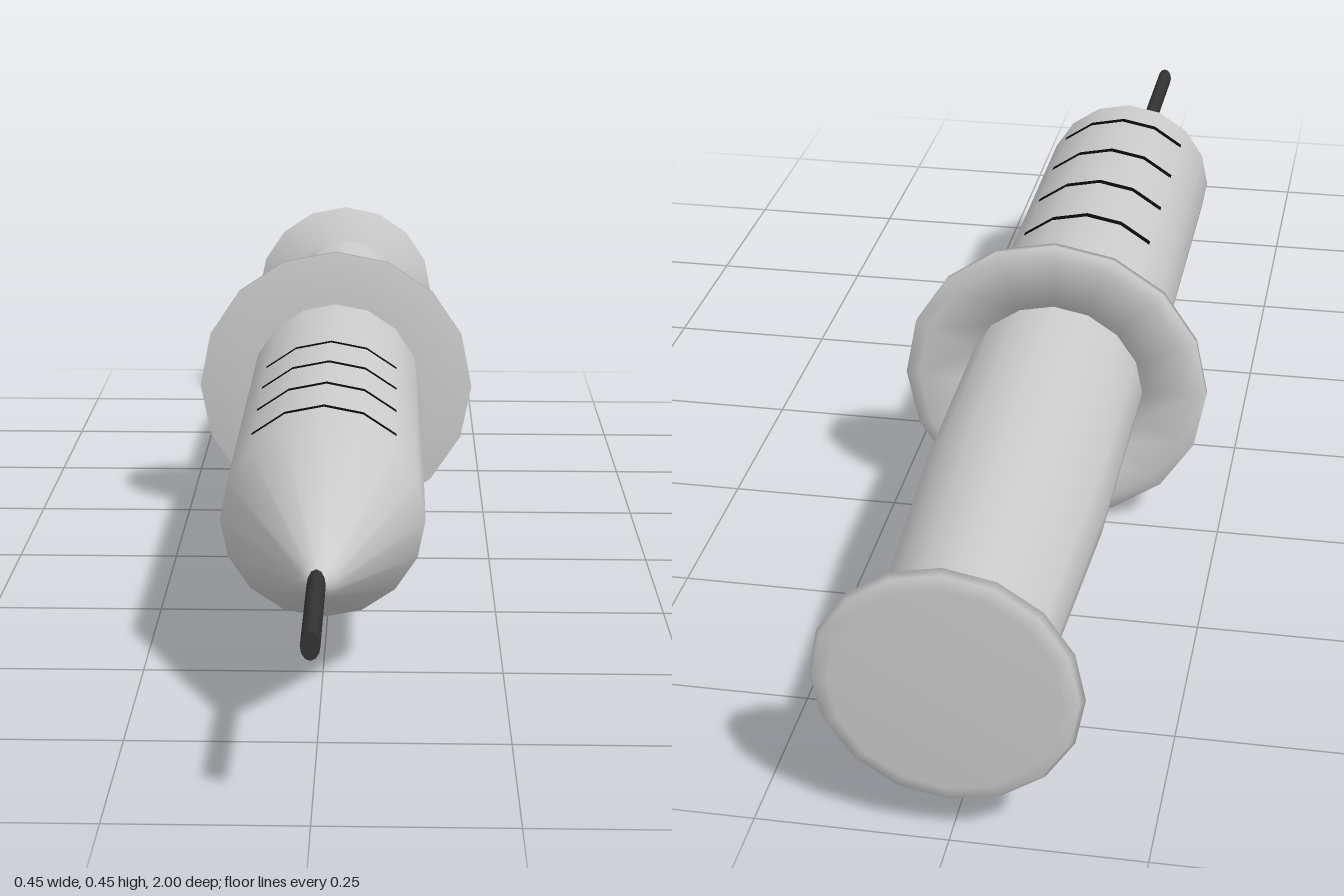
import * as THREE from 'three';
import { mergeVertices } from 'three/addons/utils/BufferGeometryUtils.js';

const SIDES = 16;
const AXIS_Y = 0.226;

// Smooth solid of revolution about z; profile is [radius, z], running rear to front.
// bend(angle, z) optionally scales the radius around the section.
function turned(profile, sides = SIDES, bend = null) {
  let geo = new THREE.LatheGeometry(profile.map(([r, z]) => new THREE.Vector2(r, z)), sides);
  geo.rotateX(Math.PI / 2);
  geo.deleteAttribute('uv');
  geo.deleteAttribute('normal');
  geo = mergeVertices(geo, 1e-4);
  if (bend) {
    const p = geo.attributes.position;
    for (let i = 0; i < p.count; i++) {
      const k = bend(Math.atan2(p.getY(i), p.getX(i)), p.getZ(i));
      p.setXY(i, p.getX(i) * k, p.getY(i) * k);
    }
  }
  geo.computeVertexNormals();
  return geo;
}

export function createModel() {
  const model = new THREE.Group();
  const grey = new THREE.MeshStandardMaterial({ color: 0xcccccc, side: THREE.DoubleSide });
  const dark = new THREE.MeshStandardMaterial({ color: 0x333333 });
  const black = new THREE.MeshStandardMaterial({ color: 0x080808, side: THREE.DoubleSide });

  const add = (name, geo, mat) => {
    const mesh = new THREE.Mesh(geo, mat);
    mesh.name = name;
    mesh.position.y = AXIS_Y;
    model.add(mesh);
    return mesh;
  };

  // Barrel with its tapered nose
  add('barrel', turned([[0.14, -0.23], [0.14, 0.515], [0.026, 0.765], [0.012, 0.785], [0, 0.787]]), grey);

  // Finger flange: a thin ring around the barrel's open end
  add('fingerFlange', turned([
    [0.132, -0.15], [0.132, -0.243], [0.205, -0.241], [0.226, -0.235], [0.226, -0.225], [0.139, -0.221],
  ]), grey);

  // Dark seal closing the barrel behind the flange
  add('seal', turned([[0, -0.16], [0.134, -0.155]]), black);

  // Plunger shaft, slightly flattened along one diagonal
  const flatten = (angle) => (Math.abs(Math.sin(angle - Math.PI / 4)) > 0.99 ? 0.925 : 1);
  add('plungerShaft', turned([[0.109, -0.965], [0.13, -0.55], [0.131, -0.16]], SIDES, flatten), grey);

  // Flared thumb rest
  add('thumbRest', turned([
    [0, -1], [0.145, -1], [0.164, -0.996], [0.17, -0.988], [0.108, -0.955],
  ]), grey);

  // Needle, slightly oval
  const needle = add('needle', new THREE.CylinderGeometry(0.018, 0.018, 0.23, 12).rotateX(Math.PI / 2), dark);
  needle.scale.x = 0.67;
  needle.position.z = 0.885;

  // Scale marks following the facets on top of the barrel
  for (let i = 0; i < 4; i++) {
    const arc = new THREE.CylinderGeometry(0.1415, 0.1415, 0.012, 4, 1, true, Math.PI * 0.75, Math.PI / 2);
    const mark = add('scaleMark' + (i + 1), arc.rotateX(Math.PI / 2), black);
    mark.position.z = 0.056 + i * 0.129;
  }

  return model;
}
